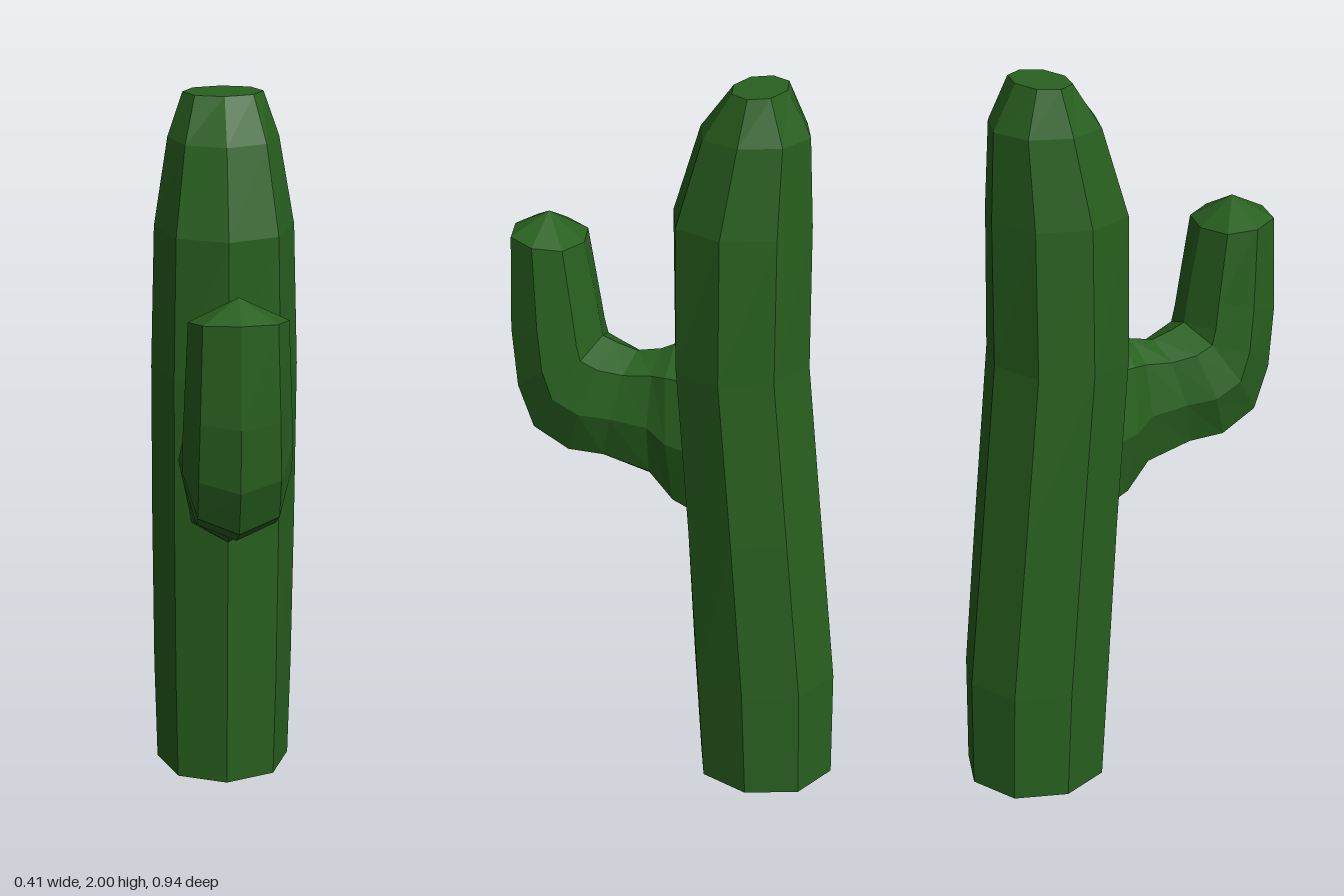
import * as THREE from 'three';

const SIDES = 8;

// Lofts eight-sided rings [backZ, backY, frontZ, frontY, halfWidth], closed by a fan at each end.
// "diag" sets how far the diagonal corners stand out; endLift raises the centre of the last cap.
function loft(name, rings, material, diag, endLift = 0) {
  const pos = [];
  const index = [];
  const corner = (v) => (Math.abs(v) > 0.9 ? Math.sign(v) : Math.abs(v) < 0.1 ? 0 : Math.sign(v) * diag);
  for (const [bz, by, fz, fy, w] of rings) {
    for (let k = 0; k < SIDES; k++) {
      const t = (k / SIDES) * Math.PI * 2;
      const c = corner(Math.cos(t));
      pos.push(w * corner(Math.sin(t)), (by + fy) / 2 + ((fy - by) / 2) * c, (bz + fz) / 2 + ((fz - bz) / 2) * c);
    }
  }
  for (let i = 0; i < rings.length - 1; i++) {
    for (let k = 0; k < SIDES; k++) {
      const a = i * SIDES + k;
      const b = i * SIDES + ((k + 1) % SIDES);
      index.push(a, b, b + SIDES, a, b + SIDES, a + SIDES);
    }
  }
  const addCap = (i, lift, flip) => {
    const [bz, by, fz, fy] = rings[i];
    const centre = pos.length / 3;
    pos.push(0, (by + fy) / 2 + lift, (bz + fz) / 2);
    for (let k = 0; k < SIDES; k++) {
      const a = i * SIDES + k;
      const b = i * SIDES + ((k + 1) % SIDES);
      index.push(centre, flip ? b : a, flip ? a : b);
    }
  };
  addCap(0, 0, true);
  addCap(rings.length - 1, endLift, false);

  const geometry = new THREE.BufferGeometry();
  geometry.setAttribute('position', new THREE.Float32BufferAttribute(pos, 3));
  geometry.setIndex(index);
  const flat = geometry.toNonIndexed();
  flat.computeVertexNormals();
  const mesh = new THREE.Mesh(flat, material);
  mesh.name = name;
  return mesh;
}

export function createModel() {
  const group = new THREE.Group();
  group.name = 'cactus';
  const green = new THREE.MeshStandardMaterial({ color: 0x28601f, flatShading: true });

  // Main column, leaning forward and then tapering to a blunt tip
  group.add(loft('trunk', [
    [-0.47, 0, -0.08, 0, 0.193],
    [-0.47, 0.31, -0.06, 0.31, 0.2],
    [-0.425, 0.77, -0.035, 0.77, 0.203],
    [-0.38, 1.24, 0, 1.24, 0.203],
    [-0.38, 1.64, 0.005, 1.64, 0.192],
    [-0.37, 1.88, -0.07, 1.88, 0.152],
    [-0.305, 2, -0.16, 2, 0.11],
  ], green, 0.72));

  // Side arm, growing out of the front and bending upward
  group.add(loft('arm', [
    [-0.12, 1.26, -0.14, 0.72, 0.14],
    [0, 1.255, -0.03, 0.77, 0.13],
    [0.04, 1.235, 0.05, 0.85, 0.108],
    [0.11, 1.22, 0.19, 0.89, 0.115],
    [0.17, 1.235, 0.29, 0.9, 0.143],
    [0.21, 1.25, 0.4, 0.96, 0.145],
    [0.215, 1.28, 0.45, 1.09, 0.145],
    [0.225, 1.34, 0.468, 1.27, 0.14],
    [0.26, 1.515, 0.46, 1.545, 0.13],
  ], green, 0.74, 0.063));

  return group;
}
